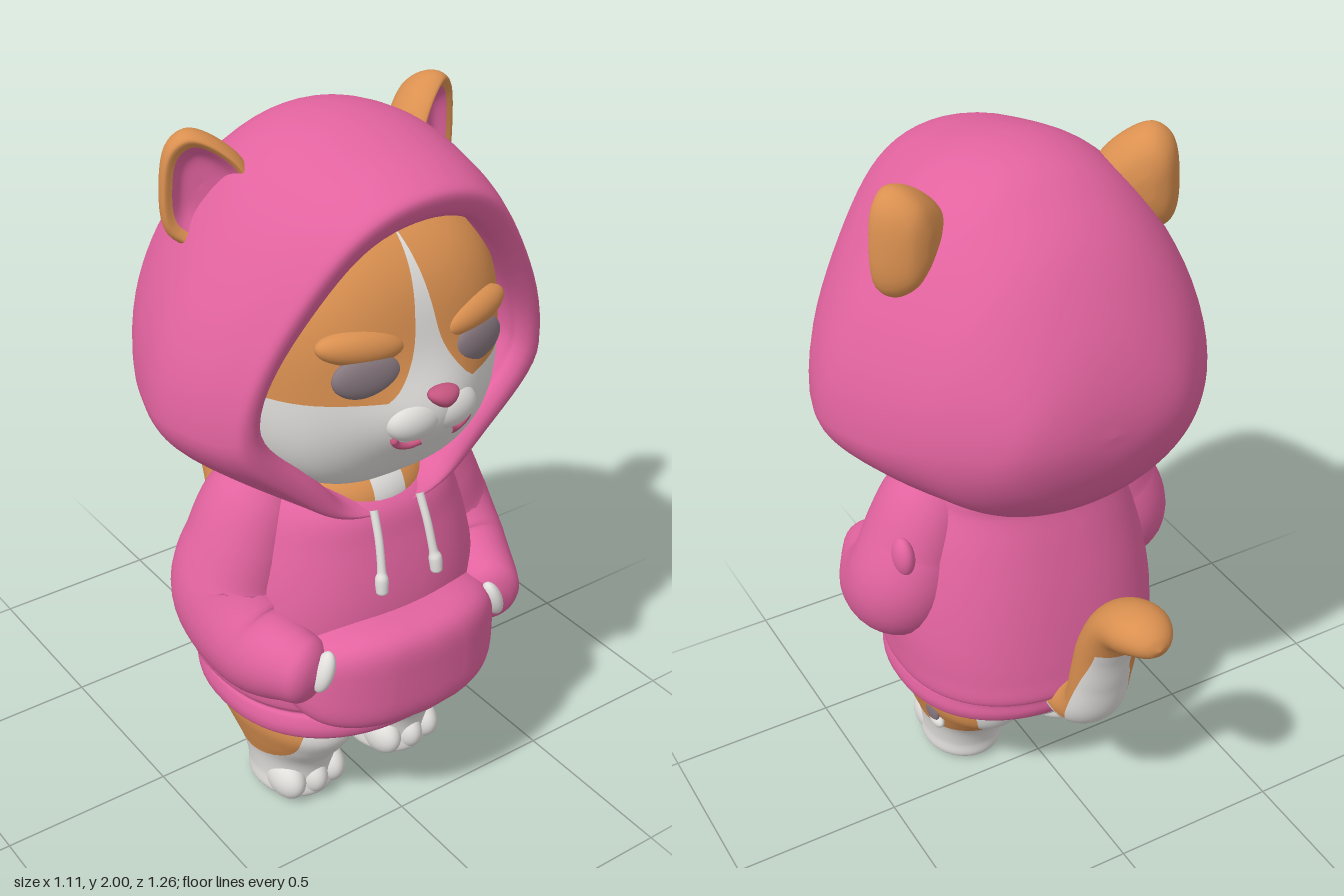
import * as THREE from 'three';

const V = (x, y, z) => new THREE.Vector3(x, y, z);
const material = (name, color) => {
  const m = new THREE.MeshStandardMaterial({ color });
  m.name = name;
  return m;
};

// Smooth skin through closed rings of points (n samples along the rings)
function loft(rings, n) {
  const count = rings[0].length, pos = [], index = [];
  const curves = rings[0].map((_, j) => new THREE.CatmullRomCurve3(rings.map(r => r[j])));
  for (let i = 0; i <= n; i++) curves.forEach(c => pos.push(...c.getPoint(i / n).toArray()));
  for (let i = 0; i < n; i++) for (let j = 0; j < count; j++) {
    const k = (j + 1) % count, a = i * count, b = a + count;
    index.push(a + j, a + k, b + k, a + j, b + k, b + j);
  }
  const g = new THREE.BufferGeometry();
  g.setAttribute('position', new THREE.Float32BufferAttribute(pos, 3));
  g.setIndex(index);
  g.computeVertexNormals();
  return g;
}

const ring = (n, fn) => Array.from({ length: n }, (_, j) => fn((j / n) * Math.PI * 2));

// Round tube of changing radius with a rounded end; points are [x, y, z, radius]
function sweep(points, wide = 1, capFrom = 0.9, n = 48) {
  const path = new THREE.CatmullRomCurve3(points.map(p => V(p[0], p[1], p[2])));
  const radius = new THREE.CatmullRomCurve3(points.map((p, i) => V(p[3], i, 0)));
  const rings = [];
  for (let i = 0; i <= n; i++) {
    const t = i / n, c = path.getPoint(t), d = path.getTangent(t);
    const v = d.clone().cross(V(1, 0, 0)).normalize(), u = v.clone().cross(d);
    const cap = Math.max(0, (t - capFrom) / (1 - capFrom));
    const r = radius.getPoint(t).x * Math.sqrt(Math.max(0, 1 - cap * cap));
    rings.push(ring(32, a => c.clone().addScaledVector(u, r * wide * Math.cos(a)).addScaledVector(v, r * Math.sin(a))));
  }
  return loft(rings, n);
}

function ball(rx, ry, rz, x, y, z, tilt = 0) {
  return new THREE.SphereGeometry(1, 40, 28).scale(rx, ry, rz).rotateZ(tilt).translate(x, y, z);
}

function mirrored(geo) {
  const g = geo.clone().scale(-1, 1, 1);
  g.index.array.reverse();
  return g;
}

// Cuts triangles along f = 0: group 0 where f >= 0, group 1 elsewhere
function paint(geo, f) {
  const g = geo.toNonIndexed(), P = g.attributes.position, N = g.attributes.normal;
  const pos = [[], []], nor = [[], []];
  for (let i = 0; i < P.count; i += 3) {
    const tri = [0, 1, 2].map(k => {
      const p = V().fromBufferAttribute(P, i + k);
      return { p, n: V().fromBufferAttribute(N, i + k), d: f(p) };
    });
    for (const s of [0, 1]) {
      const poly = [], inside = q => (q.d >= 0) === (s === 0);
      tri.forEach((a, k) => {
        const b = tri[(k + 1) % 3];
        if (inside(a)) poly.push(a);
        if (inside(a) !== inside(b)) {
          const t = a.d / (a.d - b.d);
          poly.push({ p: a.p.clone().lerp(b.p, t), n: a.n.clone().lerp(b.n, t) });
        }
      });
      for (let k = 1; k + 1 < poly.length; k++) for (const q of [poly[0], poly[k], poly[k + 1]]) {
        pos[s].push(...q.p.toArray());
        nor[s].push(...q.n.toArray());
      }
    }
  }
  const out = new THREE.BufferGeometry(), first = pos[0].length / 3;
  out.setAttribute('position', new THREE.Float32BufferAttribute(pos[0].concat(pos[1]), 3));
  out.setAttribute('normal', new THREE.Float32BufferAttribute(nor[0].concat(nor[1]), 3));
  out.addGroup(0, first, 0);
  out.addGroup(first, pos[1].length / 3, 1);
  return out;
}

// Face surface: a full, slightly boxy egg with a muzzle bump
const POW = 2.7, RX = 0.392, CZ = 0.118;
const bump = (x, y) => 0.07 * Math.exp(-((x / 0.17) ** 2) - ((y - 1.34) / 0.12) ** 2);
const faceZ = (x, y) => CZ + bump(x, y)
  + 0.41 * (1 - Math.abs(x / RX) ** POW - Math.abs((y - 1.42) / 0.4) ** POW) ** (1 / POW);

export function createModel() {
  const model = new THREE.Group();
  const pink = material('hoodie pink', 0xe2639f), orange = material('orange fur', 0xda9050);
  const white = material('white fur', 0xe1dfdc), grey = material('eye grey', 0x87787f);
  const rose = material('nose rose', 0xc4557f), fur = [orange, white];
  const add = (name, geo, mat) => {
    const mesh = new THREE.Mesh(geo, mat);
    mesh.name = name;
    model.add(mesh);
  };
  const pair = (name, geo, mat, f) => {
    for (const [side, g] of [['left', geo], ['right', mirrored(geo)]]) add(side + name, f ? paint(g, f) : g, mat);
  };

  // Hood slices, lining to rim to back: z, top, bottom, half width, widest y, pinch above, pinch below, lift
  const hood = [
    [0.1, 1.7, 1.15, 0.3, 1.4, 0.05, 0.05, 0],
    [0.2, 1.86, 1.02, 0.435, 1.36, 0.12, 0.2, 0], [0.35, 1.84, 1.02, 0.42, 1.36, 0.14, 0.25, 0.06],
    [0.4, 1.83, 1.0, 0.405, 1.36, 0.14, 0.28, 0.1], [0.425, 1.86, 0.985, 0.43, 1.35, 0.12, 0.25, 0.1],
    [0.42, 1.9, 0.98, 0.468, 1.33, 0.11, 0.2, 0.11], [0.38, 1.93, 0.985, 0.495, 1.32, 0.1, 0.17, 0.1],
    [0.3, 1.965, 1.0, 0.532, 1.32, 0.09, 0.12, 0.06], [0.17, 2.0, 1.02, 0.557, 1.32, 0.09, 0.08, 0],
    [0, 1.98, 1.04, 0.512, 1.33, 0.07, 0.05, 0], [-0.1, 1.92, 1.05, 0.467, 1.35, 0.05, 0.03, 0],
    [-0.2, 1.83, 1.07, 0.405, 1.37, 0.03, 0, 0], [-0.3, 1.68, 1.16, 0.31, 1.38, 0, 0, 0],
    [-0.35, 1.57, 1.25, 0.235, 1.4, 0, 0, 0], [-0.375, 1.48, 1.33, 0.14, 1.4, 0, 0, 0],
    [-0.383, 1.4, 1.4, 0, 1.4, 0, 0, 0],
  ].map(([z, top, bottom, w, mid, ku, kb, lift]) => ring(80, a => {
    const c = Math.cos(a), s = Math.sin(a);
    return V(w * s * (1 - (c > 0 ? ku : kb) * Math.sin(2 * a) ** 2),
      mid + c * (c > 0 ? top - mid : mid - bottom), z + lift * Math.max(0, c) ** 1.5);
  }));
  add('hood', loft(hood, 90), pink);

  // Hoodie body: y, half width, front z, back z
  const torso = [
    [0.335, 0, 0.16, 0.16], [0.33, 0.35, 0.47, -0.15], [0.335, 0.38, 0.51, -0.185], [0.365, 0.39, 0.52, -0.2],
    [0.4, 0.385, 0.51, -0.2], [0.412, 0.38, 0.5, -0.205], [0.43, 0.395, 0.505, -0.23], [0.5, 0.4, 0.505, -0.225],
    [0.6, 0.4, 0.5, -0.21], [0.75, 0.38, 0.49, -0.18], [0.9, 0.34, 0.455, -0.14], [1.0, 0.3, 0.42, -0.11],
    [1.06, 0.26, 0.3, -0.1], [1.08, 0, 0.1, 0.1],
  ].map(([y, w, f, b]) => ring(64, a => {
    const e = v => Math.sign(v) * Math.abs(v) ** 0.88;
    return V(w * e(Math.sin(a)), y, (f + b) / 2 + e(Math.cos(a)) * (f - b) / 2);
  }));
  add('hoodieBody', loft(torso, 78), pink);

  // Sleeves with a little fur showing at the cuffs, and a fold on the left shoulder
  pair('Sleeve', sweep([[0.22, 1.1, 0.16, 0.07], [0.262, 0.99, 0.155, 0.135], [0.31, 0.86, 0.155, 0.158],
    [0.356, 0.72, 0.165, 0.167], [0.358, 0.625, 0.3, 0.14], [0.325, 0.615, 0.43, 0.105], [0.295, 0.61, 0.51, 0.085]], 0.92), pink);
  pair('CuffFur', ball(0.026, 0.06, 0.032, 0.286, 0.625, 0.508, 0.35), white);
  add('shoulderFold', ball(0.03, 0.06, 0.045, 0.4, 0.885, 0.05), pink);

  // Puffy front pocket, narrower at the top
  const pocket = new THREE.SphereGeometry(1, 64, 48), pp = pocket.attributes.position;
  for (let i = 0; i < pp.count; i++) {
    const [x, y, z] = [pp.getX(i), pp.getY(i), pp.getZ(i)].map(v => Math.sign(v) * Math.abs(v) ** 0.45);
    const px = x * 0.32 * (1 - 0.27 * Math.max(0, y) ** 3);
    pp.setXYZ(i, px, 0.557 + y * 0.158, 0.44 + z * 0.18 - 0.9 * px * px);
  }
  pocket.computeVertexNormals();
  add('pocket', pocket, pink);

  // Drawstrings
  pair('Drawstring', sweep([[0.075, 1.01, 0.43, 0.011], [0.08, 0.93, 0.463, 0.011], [0.086, 0.85, 0.485, 0.012],
    [0.089, 0.83, 0.49, 0.018], [0.091, 0.785, 0.497, 0.016]], 1, 0.95), white);

  // Head, tucked up underneath towards the back
  const head = new THREE.SphereGeometry(1, 96, 72), hp = head.attributes.position;
  for (let i = 0; i < hp.count; i++) {
    const d = [hp.getX(i), hp.getY(i), hp.getZ(i)];
    const k = d.reduce((sum, v) => sum + Math.abs(v) ** POW, 0) ** (-1 / POW);
    const x = d[0] * k * RX, z = d[2] * k;
    const tuck = d[1] < 0 ? 1 - 0.25 * THREE.MathUtils.clamp(0.75 - z, 0, 1) : 1;
    const y = 1.42 + d[1] * k * 0.4 * tuck;
    hp.setXYZ(i, x, y, CZ + (z > 0 ? z * 0.41 + bump(x, y) : z * 0.34));
  }
  head.computeVertexNormals();
  const blaze = y => 0.15 * (1.78 - y) + 3 * Math.max(0, 1.55 - y) ** 2;
  add('head', paint(head, p => Math.min(p.y - 1.4, Math.abs(p.x) - blaze(p.y))), fur);
  add('neck', paint(ball(0.22, 0.13, 0.2, 0, 1.0, 0.21), p => Math.abs(p.x) - 0.05), fur);

  // Sleepy eyes under heavy lids, turned to follow the face
  const onFace = (geo, x, y, turn, sink) => geo.rotateY(turn).translate(x, y, faceZ(x, y) - sink);
  pair('Eye', onFace(ball(0.092, 0.06, 0.03, 0, 0, 0), 0.168, 1.47, 0.2, 0.01), grey);
  pair('Eyelid', onFace(ball(0.118, 0.046, 0.044, 0, 0, 0, 0.13), 0.172, 1.54, 0.22, 0.02), orange);

  // Muzzle, mouth and nose
  pair('MuzzlePuff', ball(0.085, 0.058, 0.05, 0.052, 1.338, faceZ(0.052, 1.338) - 0.038), white);
  const mouth = [[0.045, 1.28], [0.075, 1.27], [0.105, 1.28], [0.12, 1.302]];
  pair('MouthCorner', sweep(mouth.map(([x, y]) => [x, y, faceZ(x, y) + 0.003, 0.01]), 1, 0.9, 16), rose);
  const nose = new THREE.SphereGeometry(1, 32, 24), np = nose.attributes.position;
  for (let i = 0; i < np.count; i++) np.setX(i, np.getX(i) * (1 + 0.45 * np.getY(i)));
  nose.scale(0.04, 0.028, 0.034).translate(0, 1.403, 0.597).computeVertexNormals();
  add('nose', nose, rose);

  // Cupped ears: rings are [scale, z, shift]
  const outline = new THREE.CatmullRomCurve3([[-0.13, 0.03], [-0.06, 0.11], [0.02, 0.142], [0.068, 0.11], [0.09, 0.02],
    [0.075, -0.12], [-0.02, -0.16], [-0.12, -0.1]].map(([x, y]) => V(x, y, 0)), true);
  const ear = steps => loft(steps.map(([s, z, shift]) => ring(48, a => {
    const p = outline.getPoint(a / (Math.PI * 2));
    return V(p.x * s + shift, p.y * s, z);
  })), 24).rotateY(0.52).translate(0.36, 1.85, 0.072);
  pair('EarInside', ear([[0, -0.02, -0.01], [0.5, -0.012, -0.01], [0.76, 0.016, -0.01]]), pink);
  pair('Ear', ear([[0.76, 0.016, -0.01], [0.9, 0.026, -0.003], [1, 0, 0], [0.95, -0.045, 0], [0.7, -0.09, 0],
    [0.3, -0.11, 0], [0, -0.113, 0]]), orange);

  // Hips and legs: y, centre x, centre z, radius x, radius z
  const patch = p => Math.min(1 - ((p.z - 0.15) / 0.25) ** 2 - ((p.y - 0.34) / 0.19) ** 2, Math.abs(p.x) - 0.2);
  add('hips', paint(ball(0.34, 0.17, 0.34, 0, 0.365, 0.155), patch), fur);
  const leg = [
    [0.002, 0.17, 0.195, 0, 0], [0.002, 0.17, 0.195, 0.1, 0.12], [0.02, 0.17, 0.192, 0.12, 0.138],
    [0.07, 0.17, 0.187, 0.12, 0.138], [0.14, 0.172, 0.18, 0.128, 0.16], [0.22, 0.178, 0.175, 0.148, 0.228],
    [0.3, 0.18, 0.16, 0.168, 0.288], [0.38, 0.17, 0.14, 0.165, 0.28], [0.4, 0.17, 0.14, 0, 0],
  ].map(([y, cx, cz, rx, rz]) => ring(48, a => V(cx + rx * Math.sin(a), y, cz + rz * Math.cos(a))));
  pair('Leg', loft(leg, 48), fur, patch);

  // Toes and paw pads
  [0.103, 0.172, 0.24].forEach((x, i) =>
    pair('Toe' + (i + 1), ball(0.048, 0.064, 0.08, x, 0.062, i === 1 ? 0.27 : 0.258), white));
  pair('PawPad', new THREE.CircleGeometry(1, 32).rotateX(Math.PI / 2).scale(0.065, 1, 0.08).translate(0.17, -0.002, 0.2), rose);

  // Small flat tuft on the left thigh
  add('thighTuft', ball(0.014, 0.05, 0.04, 0.322, 0.268, 0.075), grey);
  add('thighTuftTip', ball(0.018, 0.022, 0.035, 0.315, 0.225, 0.062), white);

  // Tail, white along the lower back side
  const tail = sweep([[0, 0.41, -0.1, 0.06], [0, 0.41, -0.23, 0.068], [0, 0.475, -0.315, 0.07], [0, 0.6, -0.35, 0.071],
    [0, 0.73, -0.385, 0.071], [0, 0.84, -0.45, 0.07], [0, 0.882, -0.54, 0.069], [0, 0.882, -0.633, 0.067]], 1.3, 0.8, 72);
  add('tail', paint(tail, p => -Math.max(
    Math.min(-0.305 - 0.42 * (p.y - 0.42) + 0.25 * (p.x - 0.05) - p.z, 0.75 - p.y), 0.4 - p.y)), fur);

  return model;
}
